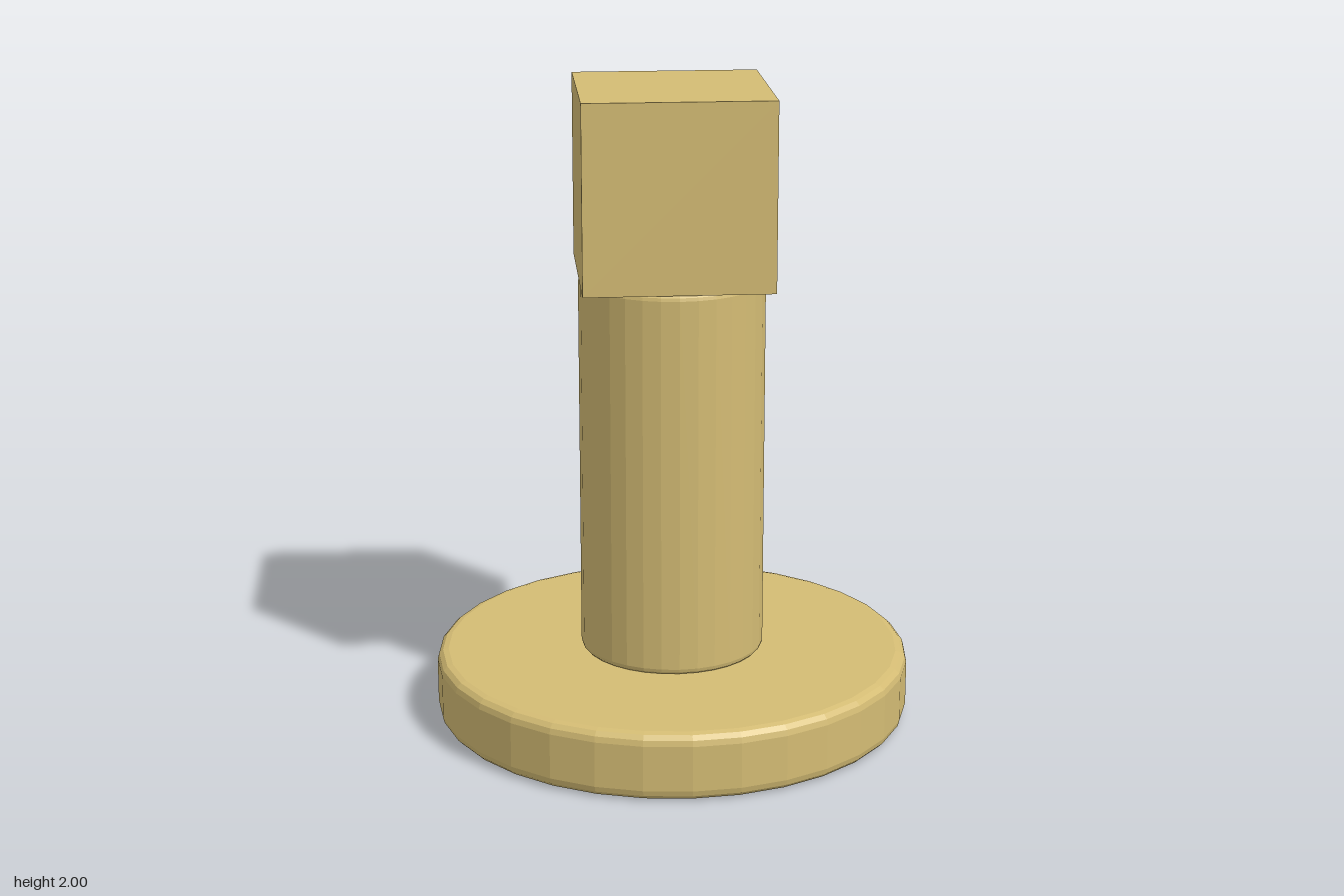
import * as THREE from 'three';

const SIDES = 32;

// Profile points for a rounded outer edge, swept between two angles.
function roundedEdge(radius, y, bevel, from, to, steps = 3) {
  return Array.from({ length: steps + 1 }, (_, i) => {
    const a = from + ((to - from) * i) / steps;
    return new THREE.Vector2(
      radius - bevel + bevel * Math.cos(a),
      y + bevel * Math.sin(a)
    );
  });
}

// Faceted solid of revolution with rounded bottom and top rims.
function roundedCylinder(radius, bottom, top, bevel) {
  const q = Math.PI / 2;
  return new THREE.LatheGeometry([
    new THREE.Vector2(0, bottom),
    ...roundedEdge(radius, bottom + bevel, bevel, -q, 0),
    ...roundedEdge(radius, top - bevel, bevel, 0, q),
    new THREE.Vector2(0, top),
  ], SIDES);
}

export function createModel() {
  const group = new THREE.Group();
  group.name = 'squareHeadedPeg';
  const material = new THREE.MeshStandardMaterial({ color: 0xd4bc74, flatShading: true });

  const add = (name, geometry) => {
    const mesh = new THREE.Mesh(geometry, material);
    mesh.name = name;
    group.add(mesh);
    return mesh;
  };

  // Round foot with softened rims
  add('base', roundedCylinder(0.748, 0, 0.212, 0.035));

  // Upright post
  add('shaft', roundedCylinder(0.289, 0.212, 1.424, 0.02));

  // Cube head, turned so its corners face the axes
  const side = 0.578;
  const head = add('head', new THREE.BoxGeometry(side, side, side));
  head.position.y = 2 - side / 2;
  head.rotation.y = Math.PI / 4;

  return group;
}
